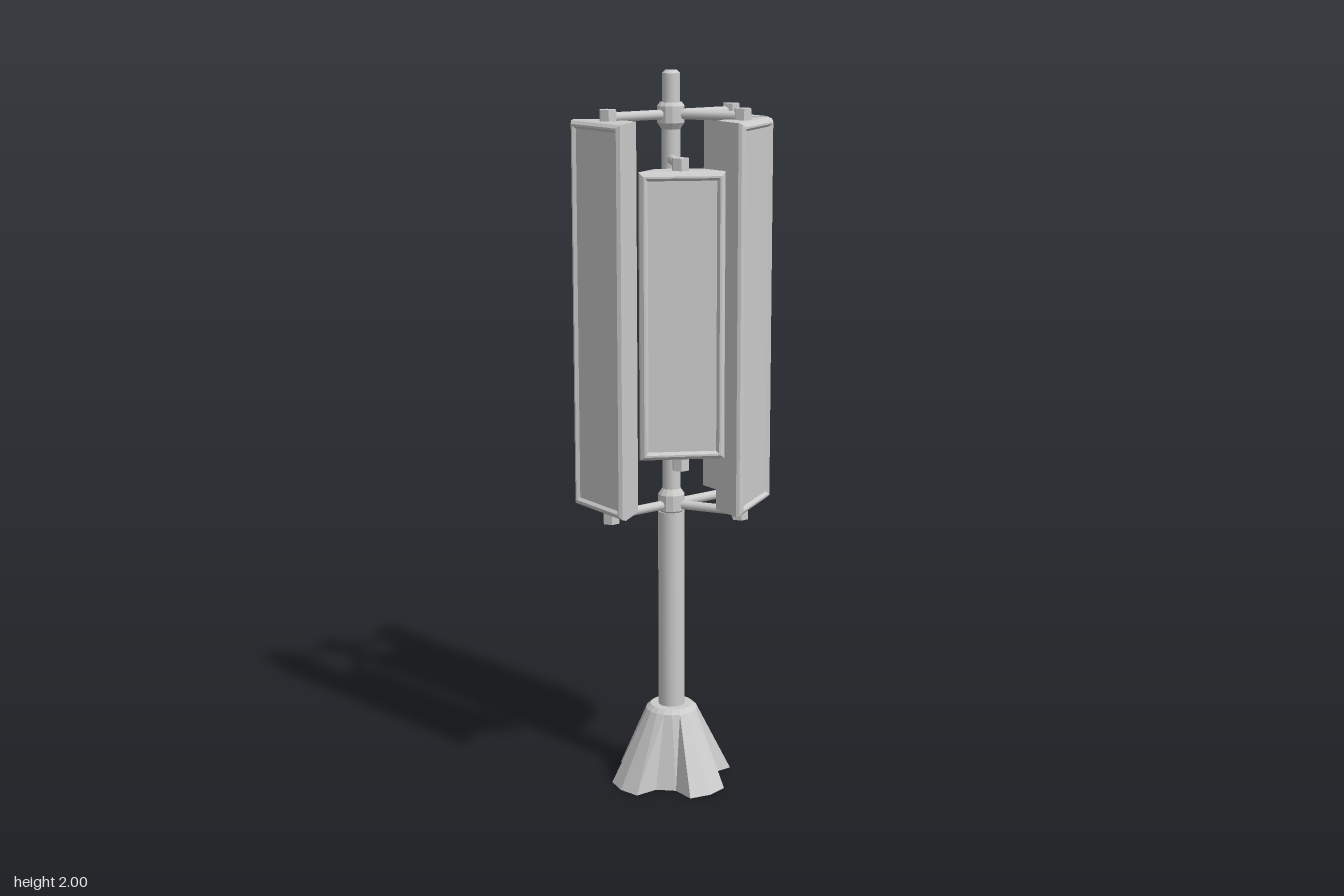
import * as THREE from 'three';

const material = new THREE.MeshStandardMaterial({ color: 0xcccccc });
const flat = new THREE.MeshStandardMaterial({ color: 0xcccccc, flatShading: true });

function add(parent, name, geometry, mat = material) {
  const mesh = new THREE.Mesh(geometry, mat);
  mesh.name = name;
  parent.add(mesh);
  return mesh;
}

// Faceted solid through a series of equal-length rings, closed at both ends
function loft(rings) {
  const pos = [];
  const tri = (a, b, c) => pos.push(...a, ...b, ...c);
  const n = rings[0].length;
  const centre = ring => [0, 1, 2].map(k => ring.reduce((s, p) => s + p[k], 0) / n);
  const first = rings[0], last = rings[rings.length - 1];
  const c0 = centre(first), c1 = centre(last);
  for (let i = 0; i < n; i++) {
    const j = (i + 1) % n;
    for (let r = 0; r < rings.length - 1; r++) {
      const a = rings[r], b = rings[r + 1];
      tri(a[i], a[j], b[j]);
      tri(a[i], b[j], b[i]);
    }
    tri(c0, first[j], first[i]);
    tri(c1, last[i], last[j]);
  }
  const g = new THREE.BufferGeometry();
  g.setAttribute('position', new THREE.Float32BufferAttribute(pos, 3));
  g.computeVertexNormals();
  return g;
}

// Four-footed base flaring down from a round neck
function baseGeometry() {
  const foot = [[0.18, 0], [0.167, 0.06], [0.1, 0.06], [0.06, 0.1], [0.167, 0.06]];
  const angles = [0, 18, 36, 54, 72];
  const bottom = [], neck = [], top = [];
  for (let q = 0; q < 4; q++) {
    foot.forEach(([u, v], i) => {
      // the last corner belongs to the next foot
      const [x, y] = i === 4 ? [v, u] : [u, v];
      const c = Math.round(Math.cos(q * Math.PI / 2)), s = Math.round(Math.sin(q * Math.PI / 2));
      bottom.push([x * c - y * s, 0, -(x * s + y * c)]);
      const a = THREE.MathUtils.degToRad(angles[i] + q * 90);
      neck.push([0.073 * Math.cos(a), 0.21, -0.073 * Math.sin(a)]);
      top.push([0.06 * Math.cos(a), 0.222, -0.06 * Math.sin(a)]);
    });
  }
  return loft([bottom, neck, top]);
}

// Wedge-shaped panel, wide face outward (+x), with a bevelled rim and recessed front
function panelGeometry(y0, y1) {
  const section = [ // distance from mast, half width, vertical inset
    [0.158, 0.06, 0], [0.237, 0.113, 0], [0.246, 0.111, 0.003],
    [0.253, 0.102, 0.011], [0.253, 0.097, 0.016], [0.245, 0.09, 0.023],
  ];
  return loft(section.map(([x, w, d]) => [
    [x, y0 + d, -w], [x, y1 - d, -w], [x, y1 - d, w], [x, y0 + d, w],
  ]));
}

// Collar clamped around the mast; flip puts the taper above
function collar(parent, name, y, flip) {
  const profile = [[0, 0], [0.022, 0], [0.037, 0.022], [0.037, 0.066], [0.03, 0.076], [0, 0.076]]
    .map(([r, h]) => new THREE.Vector2(r, flip ? 0.076 - h : h));
  if (flip) profile.reverse();
  const mesh = add(parent, name, new THREE.LatheGeometry(profile, 12), flat);
  mesh.position.y = y;
}

export function createModel() {
  const model = new THREE.Group();
  model.name = 'panelMast';
  const tower = new THREE.Group();
  tower.name = 'tower';
  tower.position.z = -0.045;
  model.add(tower);

  add(tower, 'base', baseGeometry(), flat);

  // Mast: thick below, thinner between the panels, bevelled tip
  const cylinder = (name, r, y0, y1) => {
    add(tower, name, new THREE.CylinderGeometry(r, r, y1 - y0, 20)).position.y = (y0 + y1) / 2;
  };
  cylinder('lowerMast', 0.037, 0.2, 0.79);
  cylinder('upperMast', 0.025, 0.79, 1.9);
  cylinder('mastTip', 0.024, 1.9, 1.992);
  add(tower, 'tipBevel', new THREE.CylinderGeometry(0.016, 0.024, 0.008, 20), flat).position.y = 1.996;
  collar(tower, 'topCollar', 1.84, false);
  collar(tower, 'lowerCollar', 0.785, true);

  // Panels with their arms and hexagonal bolts
  const panels = [
    { name: 'leftPanel', angle: 0, y0: 0.825, y1: 1.875, arms: [0.81, 1.884] },
    { name: 'frontLeftPanel', angle: 60, y0: 0.825, y1: 1.875, arms: [0.81, 1.884] },
    { name: 'frontRightPanel', angle: 120, y0: 0.995, y1: 1.755, arms: [0.98, 1.766] },
    { name: 'rightPanel', angle: 180, y0: 0.825, y1: 1.875, arms: [0.81, 1.884] },
  ];
  for (const { name, angle, y0, y1, arms } of panels) {
    const group = new THREE.Group();
    group.name = name + 'Assembly';
    group.rotation.y = -THREE.MathUtils.degToRad(angle);
    tower.add(group);
    add(group, name, panelGeometry(y0, y1), flat);
    for (const y of arms) {
      const arm = add(group, 'arm', new THREE.CylinderGeometry(0.013, 0.013, 0.205, 12));
      arm.rotation.z = Math.PI / 2;
      arm.position.set(0.1025, y, 0);
      const bolt = add(group, 'bolt', new THREE.CylinderGeometry(0.024, 0.024, 0.042, 6), flat);
      bolt.rotation.y = Math.PI / 6;
      bolt.position.set(0.205, y, 0);
    }
  }
  return model;
}
